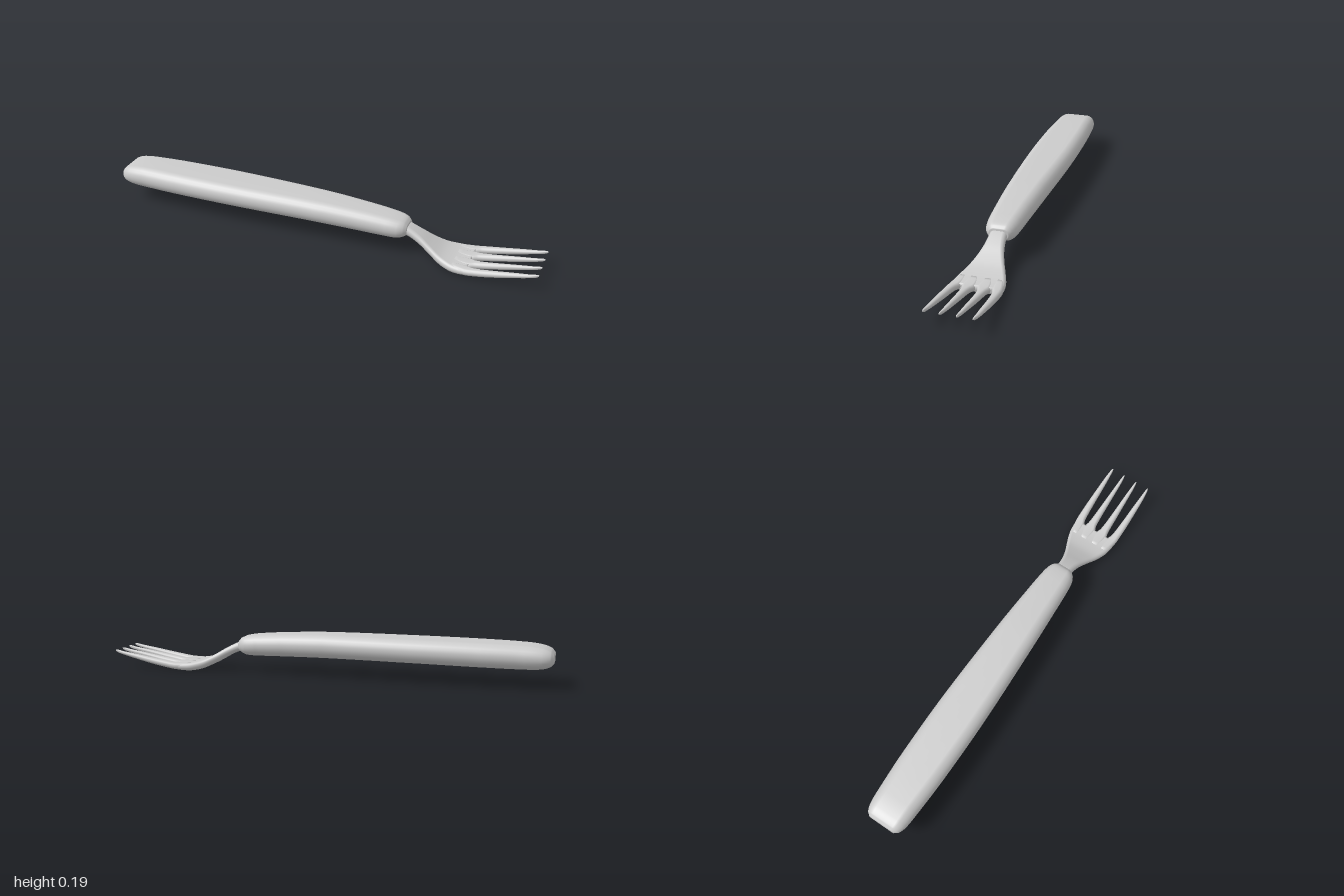
import * as THREE from 'three';

const material = new THREE.MeshStandardMaterial({ color: 0xcccccc });

// Smooth interpolation of a whole station row between its neighbours
function blend(rows, i, t) {
  const at = k => rows[Math.min(Math.max(k, 0), rows.length - 1)];
  const [a, b, c, d] = [at(i - 1), at(i), at(i + 1), at(i + 2)];
  return b.map((_, k) => {
    const h = c[0] - b[0];
    const m0 = (c[k] - a[k]) / (c[0] - a[0]) * h;
    const m1 = (d[k] - b[k]) / (d[0] - b[0]) * h;
    const t2 = t * t, t3 = t2 * t;
    return (2 * t3 - 3 * t2 + 1) * b[k] + (t3 - 2 * t2 + t) * m0
      + (3 * t2 - 2 * t3) * c[k] + (t3 - t2) * m1;
  });
}

// Loft of round-sided sections along x; each station is [x, zMin, zMax, yMin, yMax]
function loft(name, rows, steps = 5, sides = 24) {
  const stations = [];
  for (let i = 0; i < rows.length - 1; i++)
    for (let s = 0; s < steps; s++) stations.push(blend(rows, i, s / steps));
  stations.push(rows[rows.length - 1]);

  const pos = [], index = [];
  for (const [x, z0, z1, y0, y1] of stations) {
    const hw = (z1 - z0) / 2, hh = (y1 - y0) / 2, r = Math.min(hw, hh);
    for (let j = 0; j < sides; j++) {
      const a = (j + 0.5) / sides * Math.PI * 2;
      const c = Math.cos(a), s = Math.sin(a);
      pos.push(x,
        (y0 + y1) / 2 + Math.sign(s) * (hh - r) + r * s,
        (z0 + z1) / 2 + Math.sign(c) * (hw - r) + r * c);
    }
  }
  for (let i = 0; i < stations.length - 1; i++)
    for (let j = 0; j < sides; j++) {
      const a = i * sides + j, b = i * sides + (j + 1) % sides;
      index.push(a, a + sides, b, b, a + sides, b + sides);
    }
  // End caps
  const last = (stations.length - 1) * sides;
  const cap = (row, start, flip) => {
    const centre = pos.length / 3;
    pos.push(row[0], (row[3] + row[4]) / 2, (row[1] + row[2]) / 2);
    for (let j = 0; j < sides; j++) {
      const a = start + j, b = start + (j + 1) % sides;
      index.push(centre, flip ? b : a, flip ? a : b);
    }
  };
  cap(stations[0], 0, false);
  cap(stations[stations.length - 1], last, true);

  const geometry = new THREE.BufferGeometry();
  geometry.setAttribute('position', new THREE.Float32BufferAttribute(pos, 3));
  geometry.setIndex(index);
  geometry.computeVertexNormals();
  const mesh = new THREE.Mesh(geometry, material);
  mesh.name = name;
  return mesh;
}

const symmetric = rows => rows.map(([x, w, y0, y1]) => [x, -w, w, y0, y1]);

export function createModel() {
  const group = new THREE.Group();
  group.name = 'fork';

  // Thick rounded handle with a bevelled collar at the neck
  group.add(loft('handle', symmetric([
    [-1, 0.062, 0.108, 0.146],
    [-0.985, 0.08, 0.095, 0.162],
    [-0.95, 0.092, 0.084, 0.175],
    [-0.88, 0.098, 0.08, 0.183],
    [-0.7, 0.106, 0.081, 0.187],
    [-0.4, 0.107, 0.084, 0.189],
    [0, 0.093, 0.084, 0.189],
    [0.2, 0.082, 0.08, 0.181],
    [0.32, 0.074, 0.077, 0.172],
    [0.37, 0.067, 0.078, 0.165],
    [0.395, 0.056, 0.087, 0.157],
    [0.41, 0.042, 0.097, 0.143],
  ])));

  // Neck flaring into the flat palm
  group.add(loft('neckAndPalm', symmetric([
    [0.38, 0.04, 0.1, 0.145],
    [0.42, 0.038, 0.088, 0.132],
    [0.47, 0.045, 0.064, 0.107],
    [0.52, 0.061, 0.036, 0.077],
    [0.57, 0.082, 0.012, 0.052],
    [0.62, 0.1, 0.002, 0.039],
    [0.66, 0.107, 0.002, 0.035],
    [0.695, 0.109, 0.006, 0.034],
  ])));

  // Four tapering tines, given as inner and outer edge for one side
  const height = [
    [0.63, 0.001, 0.038], [0.69, 0.005, 0.037], [0.72, 0.009, 0.04],
    [0.8, 0.023, 0.052], [0.9, 0.046, 0.068], [0.96, 0.061, 0.077],
    [0.99, 0.07, 0.083], [1, 0.076, 0.083],
  ];
  const edges = {
    InnerTine: [[0.004, 0.055], [0.002, 0.06], [0.013, 0.053], [0.019, 0.048],
      [0.023, 0.043], [0.026, 0.04], [0.029, 0.037], [0.031, 0.035]],
    OuterTine: [[0.056, 0.1], [0.063, 0.11], [0.074, 0.112], [0.081, 0.112],
      [0.086, 0.109], [0.09, 0.106], [0.093, 0.102], [0.095, 0.099]],
  };
  for (const [name, pair] of Object.entries(edges))
    for (const side of [1, -1]) {
      const rows = height.map(([x, y0, y1], i) => {
        const [a, b] = pair[i];
        return side > 0 ? [x, a, b, y0, y1] : [x, -b, -a, y0, y1];
      });
      group.add(loft((side > 0 ? 'front' : 'back') + name, rows, 4, 16));
    }

  return group;
}
